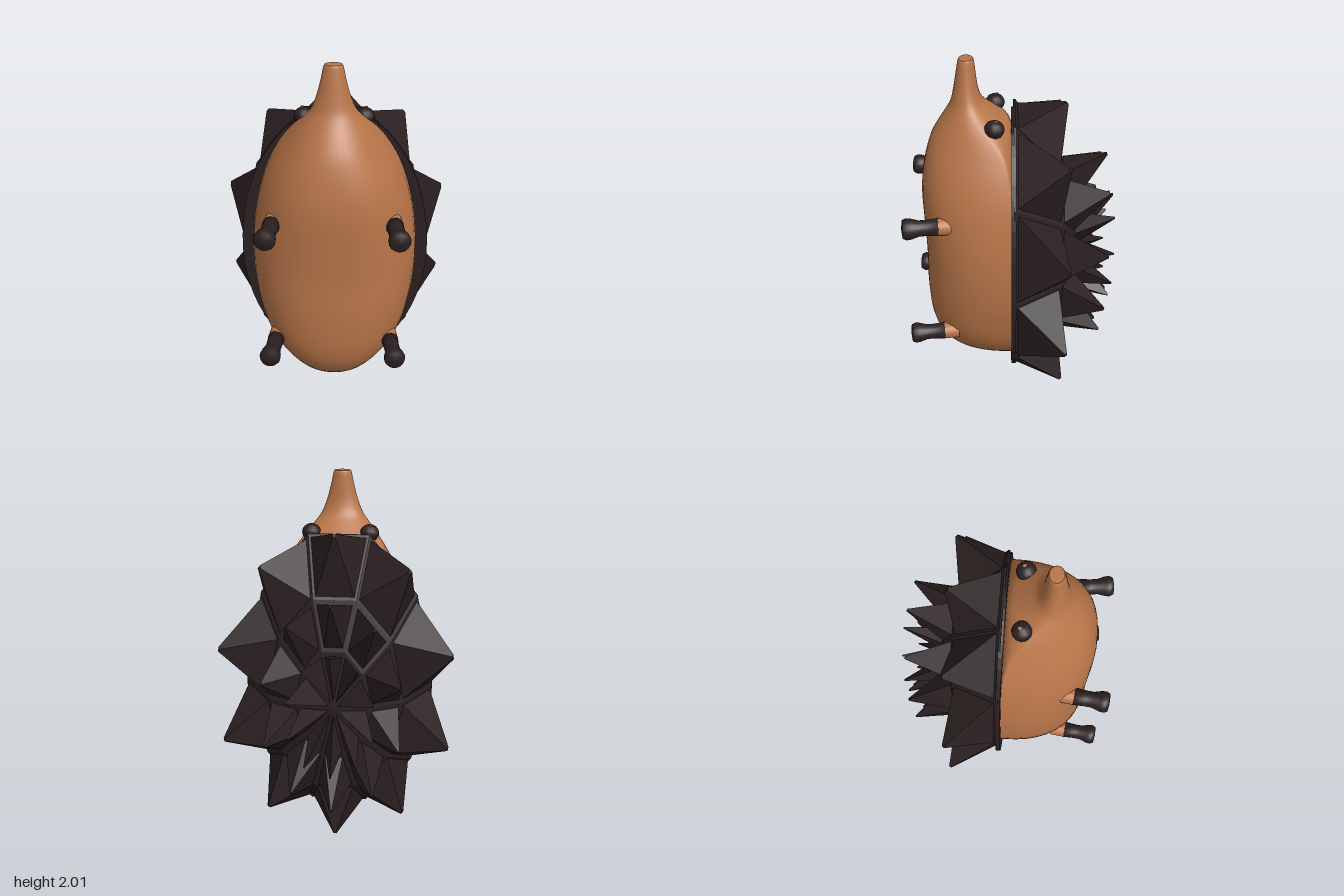
import * as THREE from 'three';

const brown = new THREE.MeshStandardMaterial({ name: 'brown skin', color: 0xb87549 });
const dark = new THREE.MeshStandardMaterial({ name: 'dark spines', color: 0x2b2021 });

function add(parent, name, geometry, material, x = 0, y = 0, z = 0) {
  const mesh = new THREE.Mesh(geometry, material);
  mesh.name = name;
  mesh.position.set(x, y, z);
  parent.add(mesh);
  return mesh;
}

// Smooth body lofted through upright stations: height, half width, front z, back z, widest z
function bodyGeometry() {
  const stations = [
    [0.145, 0, 0.06, -0.015, 0], [0.152, 0.075, 0.17, -0.015, 0], [0.18, 0.145, 0.27, -0.015, 0],
    [0.25, 0.242, 0.37, -0.015, 0], [0.36, 0.336, 0.44, -0.015, 0], [0.5, 0.405, 0.474, -0.015, 0],
    [0.7, 0.447, 0.482, -0.015, 0], [0.9, 0.459, 0.476, -0.015, 0], [1.1, 0.443, 0.48, -0.015, 0],
    [1.3, 0.397, 0.482, -0.015, 0], [1.45, 0.338, 0.46, -0.015, 0.01], [1.57, 0.27, 0.425, -0.01, 0.05],
    [1.65, 0.213, 0.383, 0.01, 0.12], [1.71, 0.162, 0.345, 0.075, 0.18], [1.77, 0.115, 0.311, 0.14, 0.215],
    [1.84, 0.086, 0.293, 0.167, 0.225], [1.92, 0.064, 0.278, 0.177, 0.227], [1.985, 0.05, 0.266, 0.184, 0.226],
    [2, 0.043, 0.26, 0.19, 0.225],
  ];
  const outline = new THREE.CatmullRomCurve3(
    stations.map(([y, w, f]) => new THREE.Vector3(w, y, f)), false, 'catmullrom');
  const depth = new THREE.CatmullRomCurve3(
    stations.map(([, , , b, c]) => new THREE.Vector3(b, c, 0)), false, 'catmullrom');
  const rows = 72, n = 48, pos = [], index = [];
  for (let j = 0; j <= rows; j++) {
    const o = outline.getPoint(j / rows), d = depth.getPoint(j / rows);
    // Boxy belly sections turn round towards the snout
    const power = THREE.MathUtils.lerp(0.84, 1, THREE.MathUtils.smoothstep(o.y, 1.4, 1.75));
    const soft = v => Math.sign(v) * Math.abs(v) ** power;
    for (let i = 0; i < n; i++) {
      const t = i / n * Math.PI * 2, s = soft(Math.sin(t));
      pos.push(Math.max(o.x, 0) * soft(Math.cos(t)), o.y, d.y + s * (s > 0 ? o.z - d.y : d.y - d.x));
      if (j < rows) {
        const a = j * n + i, b = j * n + (i + 1) % n;
        index.push(a, a + n, b, a + n, b + n, b);
      }
    }
  }
  const g = new THREE.BufferGeometry();
  g.setAttribute('position', new THREE.Float32BufferAttribute(pos, 3));
  g.setIndex(index);
  g.computeVertexNormals();
  return g;
}

// Faceted surface from convex polygons, each turned away from an inner point
function facets() {
  const pos = [];
  return {
    polygon(points, inside) {
      for (let k = 1; k < points.length - 1; k++) {
        let t = [points[0], points[k], points[k + 1]];
        const tri = new THREE.Triangle(...t);
        const out = tri.getMidpoint(new THREE.Vector3()).sub(inside);
        if (tri.getNormal(new THREE.Vector3()).dot(out) < 0) t = [t[0], t[2], t[1]];
        t.forEach(p => pos.push(p.x, p.y, p.z));
      }
    },
    geometry() {
      const g = new THREE.BufferGeometry();
      g.setAttribute('position', new THREE.Float32BufferAttribute(pos, 3));
      g.computeVertexNormals();
      return g;
    },
  };
}

// Ten-sided dome with one spine standing on every panel
function addCoat(parent) {
  const sides = 10, cy = 0.845;
  // Point on an egg outline: half width, reach down, reach up
  const at = ([rx, down, up, z], k) => {
    const a = k * Math.PI * 2 / sides, s = Math.sin(a);
    return new THREE.Vector3(rx * Math.cos(a), cy + (s > 0 ? up : down) * s, z);
  };
  const rings = [
    [0.53, 0.815, 0.9, -0.012], [0.53, 0.815, 0.9, -0.022], [0.365, 0.565, 0.6, -0.27],
    [0.19, 0.3, 0.33, -0.35], [0, 0, 0, -0.375],
  ];
  // Spine tips and base inset on the panels above rings 1, 2 and 3
  const tips = [null, [0.65, 0.845, 0.91, -0.287], [0.37, 0.548, 0.615, -0.512], [0.23, 0.31, 0.36, -0.562]];
  const insets = [0, 0.1, 0.18, 0.22];
  const shell = facets(), spines = facets();
  const centre = new THREE.Vector3(0, cy, -0.02);

  for (let k = 0; k < sides; k++) {
    shell.polygon([new THREE.Vector3(0, cy, rings[0][3]), at(rings[0], k), at(rings[0], k + 1)], centre);
    for (let r = 0; r < 4; r++) {
      const panel = [at(rings[r], k), at(rings[r], k + 1)];
      if (r < 3) panel.push(at(rings[r + 1], k + 1));
      panel.push(at(rings[r + 1], k));
      shell.polygon(panel, centre);
      if (!tips[r]) continue;

      const mid = new THREE.Vector3();
      panel.forEach(p => mid.addScaledVector(p, 1 / panel.length));
      const tip = at(tips[r], k + 0.5);
      const base = panel.map(p => p.clone().lerp(mid, insets[r]));
      const top = panel.map(p => p.clone().sub(mid).multiplyScalar(0.05).add(tip));
      const core = mid.clone().lerp(tip, 0.3);
      base.forEach((p, i) => {
        const j = (i + 1) % base.length;
        spines.polygon([p, base[j], top[j], top[i]], core);
      });
      spines.polygon(top, core);
    }
  }
  add(parent, 'coatShell', shell.geometry(), dark);
  add(parent, 'spines', spines.geometry(), dark);

  // Smooth oval rim where the coat meets the belly
  const oval = Array.from({ length: 60 }, (_, i) => {
    const p = at([0.53, 0.775, 0.855, 0], i / 6);
    return new THREE.Vector2(p.x, p.y);
  });
  const rim = new THREE.ExtrudeGeometry(new THREE.Shape(oval), { depth: 0.024, bevelEnabled: false });
  add(parent, 'coatRim', rim, dark, 0, 0, -0.024);
}

// Short leg with a skin-coloured stub and a flared dark foot
function makeLeg(side, y) {
  const leg = new THREE.Group();
  leg.name = 'leg';
  const profile = [[0, 0], [0.047, 0], [0.042, 0.06], [0.042, 0.1], [0.054, 0.14], [0.057, 0.165], [0.048, 0.185], [0, 0.19]]
    .map(p => new THREE.Vector2(...p));
  add(leg, 'foot', new THREE.LatheGeometry(profile, 20), dark);
  add(leg, 'legStub', new THREE.CylinderGeometry(0.046, 0.046, 0.08, 20), brown, 0, -0.04);
  leg.position.set(side * 0.315, y, 0.38);
  leg.rotation.set(Math.PI / 2, 0, -side * 0.12);
  return leg;
}

export function createModel() {
  const model = new THREE.Group();
  model.name = 'hedgehog';

  add(model, 'body', bodyGeometry(), brown);
  const nose = add(model, 'noseTip', new THREE.CircleGeometry(1, 32), brown, 0, 2, 0.225);
  nose.rotation.x = -Math.PI / 2;
  nose.scale.set(0.043, 0.035, 1);

  addCoat(model);

  for (const side of [-1, 1]) {
    model.add(makeLeg(side, 1.205), makeLeg(side, 0.487));
    const eye = add(model, 'eye', new THREE.SphereGeometry(0.052, 12, 8), dark, side * 0.158, 1.687, 0.085);
    eye.scale.y = 0.9;
    // Small glint on top of the eye
    add(model, 'eyeGlint', new THREE.BoxGeometry(0.016, 0.006, 0.016), brown, side * 0.165, 1.732, 0.075);
  }
  return model;
}
